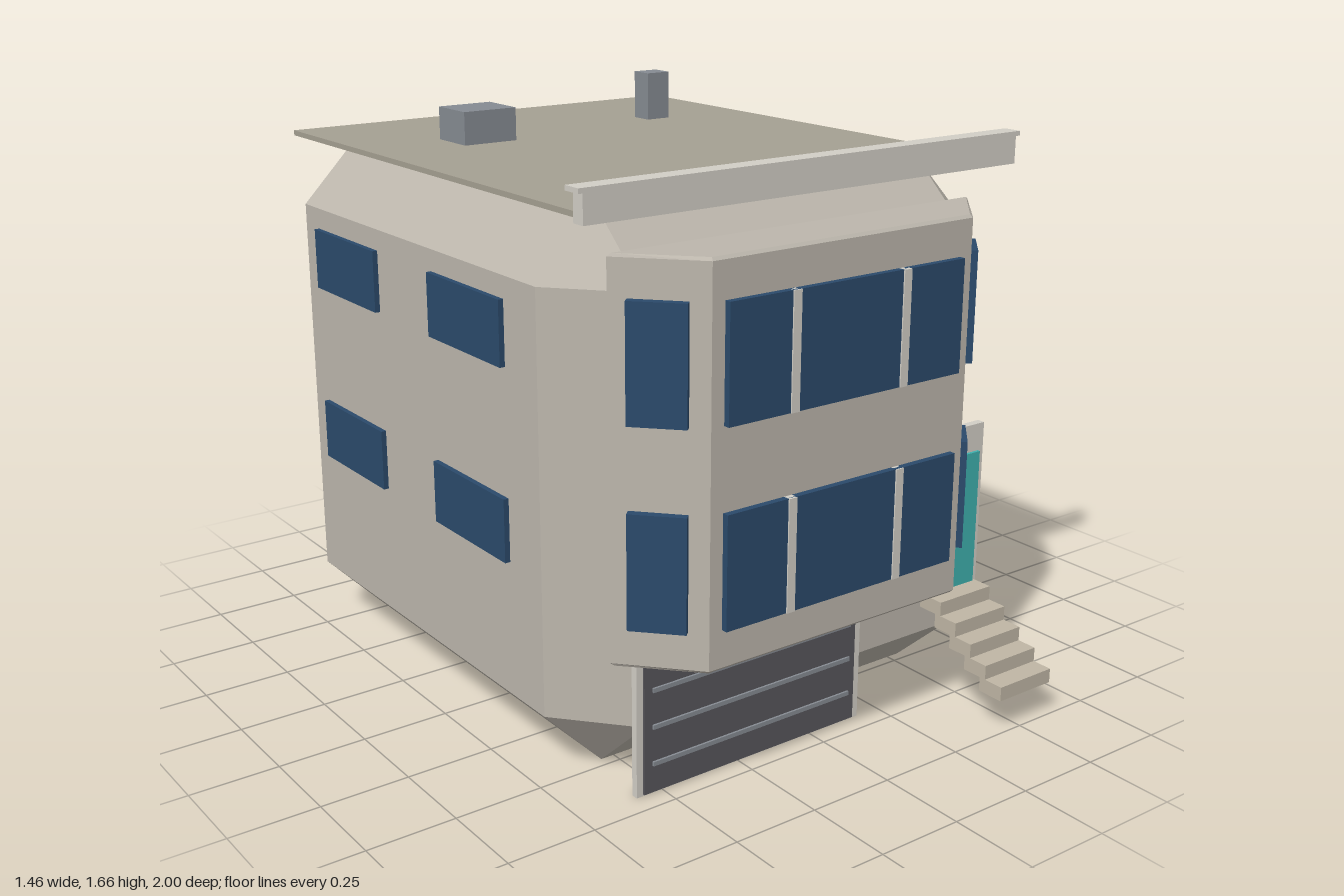
import * as THREE from 'three';
import { ConvexGeometry } from 'three/addons/geometries/ConvexGeometry.js';

const mat = (color, flatShading = true) => new THREE.MeshStandardMaterial({ color, flatShading });
const wall = mat(0xbcb6ac);
const trim = mat(0xd2cec6);
const roofMat = mat(0xa5a092);
const glass = mat(0x2b4a6b);
const metal = mat(0x868b92);
const doorMat = mat(0x3fb0ae);
const garageMat = mat(0x57565b);
const stepMat = mat(0xbfb6a5);

export function createModel() {
  const house = new THREE.Group();
  house.name = 'house';

  const add = (name, geometry, material) => {
    const mesh = new THREE.Mesh(geometry, material);
    mesh.name = name;
    house.add(mesh);
    return mesh;
  };
  // box given by its minimum and maximum on each axis
  const box = (name, material, x0, x1, y0, y1, z0, z1) => {
    const mesh = add(name, new THREE.BoxGeometry(x1 - x0, y1 - y0, z1 - z0), material);
    mesh.position.set((x0 + x1) / 2, (y0 + y1) / 2, (z0 + z1) / 2);
    return mesh;
  };

  // main block with every edge chamfered
  const points = [];
  for (const sx of [-1, 1]) {
    for (const [zIn, zOut] of [[-0.8, -1], [0.47, 0.67]]) {
      for (const [yIn, yOut] of [[0.18, 0], [1.32, 1.5]]) {
        points.push(
          new THREE.Vector3(sx * 0.715, yIn, zIn),
          new THREE.Vector3(sx * 0.54, yOut, zIn),
          new THREE.Vector3(sx * 0.54, yIn, zOut)
        );
      }
    }
  }
  add('mainBlock', new ConvexGeometry(points), wall);

  // roof slab, cornice and rooftop boxes
  box('roof', roofMat, -0.67, 0.67, 1.5, 1.515, -0.95, 0.64);
  box('cornice', trim, -0.708, 0.705, 1.5, 1.575, 0.63, 0.67);
  box('corniceCap', trim, -0.72, 0.72, 1.575, 1.588, 0.615, 0.67);
  box('roofVent', metal, -0.4, -0.23, 1.51, 1.61, -0.54, -0.395);
  box('chimney', metal, 0.315, 0.395, 1.51, 1.658, -0.57, -0.5);

  // bay: trapezoid plan with a thin bevel
  const bevel = 0.008;
  const plan = new THREE.Shape([
    new THREE.Vector2(-0.636, 0.676),
    new THREE.Vector2(0.518, 0.676),
    new THREE.Vector2(0.357, 0.847),
    new THREE.Vector2(-0.475, 0.847)
  ]);
  const bay = add('bay', new THREE.ExtrudeGeometry(plan, {
    depth: 1.045 - 2 * bevel, bevelSize: bevel, bevelThickness: bevel, bevelSegments: 1
  }).rotateX(Math.PI / 2), wall);
  bay.position.y = 1.43 - bevel;

  // bay windows on both floors
  for (const [y0, y1] of [[0.495, 0.8], [1.02, 1.325]]) {
    box('bayWindow', glass, -0.44, 0.32, y0, y1, 0.85, 0.873);
    for (const x of [-0.238, 0.12]) box('mullion', trim, x - 0.0125, x + 0.0125, y0, y1, 0.85, 0.877);
    for (const [x, side] of [[-0.571, -1], [0.453, 1]]) {
      const pane = add('bayCornerWindow', new THREE.BoxGeometry(0.148, y1 - y0, 0.026), glass);
      pane.position.set(x, (y0 + y1) / 2, 0.768);
      pane.rotation.y = side * 0.815;
    }
  }

  // side windows
  for (const side of [-1, 1]) {
    for (const [y0, y1] of [[0.56, 0.735], [1.085, 1.26]]) {
      for (const [z0, z1] of [[-0.045, 0.32], [-0.715, -0.35]]) {
        box('sideWindow', glass, side * 0.715 - 0.015, side * 0.715 + 0.015, y0, y1, z0, z1);
      }
    }
  }

  // garage door with three ribs
  box('garageFrame', trim, -0.58, 0.175, 0, 0.39, 0.67, 0.69);
  box('garageDoor', garageMat, -0.56, 0.152, 0.005, 0.375, 0.675, 0.696);
  for (const y of [0.088, 0.192, 0.295]) {
    box('garageRib', metal, -0.535, 0.13, y - 0.006, y + 0.006, 0.69, 0.702);
  }

  // entrance door and stairs
  box('doorFrame', trim, 0.4, 0.62, 0.3, 0.78, 0.67, 0.693);
  box('door', doorMat, 0.42, 0.6, 0.3, 0.7, 0.68, 0.702);
  for (let i = 0; i < 5; i++) {
    const front = 1 - 0.06 * i;
    const bottom = 0.1 + 0.041 * i;
    box('step', stepMat, 0.415, 0.61, bottom, bottom + 0.041, front - 0.08, front);
  }
  return house;
}
